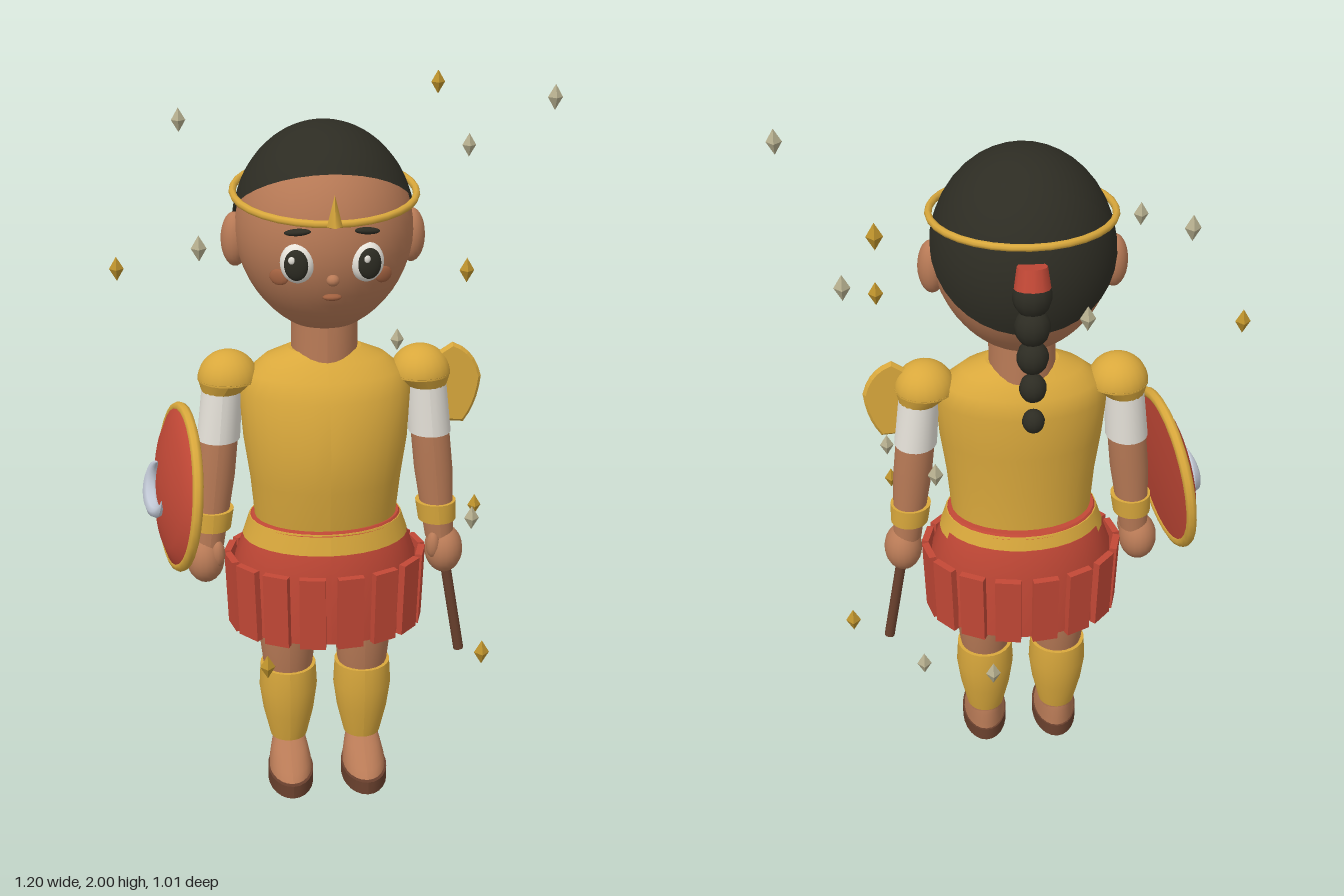
import * as THREE from 'three';

const mat = (name, color) => {
  const m = new THREE.MeshStandardMaterial({ color, side: THREE.DoubleSide });
  m.name = name;
  return m;
};

// Stacked elliptical rings, top to bottom: [y, rx, rz, zCentre, xCentre]
function loft(rings, seg = 24) {
  const n = rings.length - 1;
  const g = new THREE.CylinderGeometry(1, 1, 1, seg, n);
  const p = g.attributes.position;
  for (let i = 0; i < p.count; i++) {
    const [y, rx, rz, zc = 0, xc = 0] = rings[Math.round((0.5 - p.getY(i)) * n)];
    p.setXYZ(i, xc + p.getX(i) * rx, y, zc + p.getZ(i) * rz);
  }
  g.computeVertexNormals();
  return g;
}

export function createModel() {
  const skin = mat('skin', 0xb87a56), hair = mat('black hair', 0x2d2c23);
  const gold = mat('gold', 0xd9a83c), red = mat('red', 0xc24836);
  const white = mat('white', 0xebe7de), silver = mat('silver', 0xc2c9d6);
  const brown = mat('brown leather', 0x69402d), pale = mat('pale crystal', 0xb5ae8e);
  const darkGold = mat('dark gold', 0xbd922c), blush = mat('blush', 0xa0603f);

  const root = new THREE.Group();
  root.name = 'warrior';
  const figure = new THREE.Group();
  figure.name = 'figure';
  figure.position.x = -0.03;
  root.add(figure);

  const add = (name, geo, material, pos = [0, 0, 0], parent = figure) => {
    const m = new THREE.Mesh(geo, material);
    m.name = name;
    m.position.set(...pos);
    parent.add(m);
    return m;
  };
  const ball = (name, material, pos, size, parent = figure, seg = 20) => {
    const m = add(name, new THREE.SphereGeometry(1, seg, Math.ceil(seg * 0.7)), material, pos, parent);
    m.scale.set(...size);
    return m;
  };

  // Head, slightly narrower toward the chin
  const headGeo = new THREE.SphereGeometry(1, 36, 26);
  const hp = headGeo.attributes.position;
  for (let i = 0; i < hp.count; i++) {
    const d = Math.min(hp.getY(i), 0), k = 1 - 0.12 * d * d;
    hp.setXYZ(i, hp.getX(i) * k * 0.235, hp.getY(i) * 0.275, hp.getZ(i) * k * 0.25);
  }
  headGeo.computeVertexNormals();
  add('head', headGeo, skin, [0, 1.64, 0]);
  add('neck', loft([[1.42, 0.09, 0.095], [1.29, 0.09, 0.1]]), skin);

  // Hair cap, tilted back
  const cap = new THREE.SphereGeometry(1, 36, 18, 0, Math.PI * 2, 0, Math.PI * 0.45);
  cap.rotateX(-0.56);
  cap.scale(0.243, 0.282, 0.265);
  cap.computeVertexNormals();
  add('hairCap', cap, hair, [0, 1.638, -0.01]);

  // Braid with a red tie
  const tie = add('braidTie', new THREE.CylinderGeometry(0.038, 0.046, 0.055, 12), red, [0, 1.705, -0.283]);
  tie.rotation.x = 0.2;
  [[1.655, -0.285, 0.05], [1.575, -0.295, 0.046], [1.495, -0.305, 0.041],
    [1.415, -0.32, 0.035], [1.33, -0.34, 0.029]].forEach(([y, z, r]) =>
    ball('braidBead', hair, [0, y, z], [r, r * 1.12, r], figure, 12));

  // Circlet with a spike at the front
  const circlet = add('circlet', new THREE.TorusGeometry(1, 0.04, 8, 32), gold, [0, 1.743, 0.012]);
  circlet.geometry.rotateX(Math.PI / 2).scale(0.24, 0.25, 0.264);
  circlet.rotation.x = 0.095;
  add('circletSpike', new THREE.ConeGeometry(0.02, 0.08, 4), gold, [0, 1.755, 0.289]);

  // Face
  ball('nose', skin, [0, 1.565, 0.243], [0.017, 0.015, 0.017], figure, 12);
  ball('mouth', blush, [0, 1.515, 0.222], [0.025, 0.009, 0.014], figure, 12);

  for (const s of [-1, 1]) {
    ball('ear', skin, [s * 0.235, 1.61, -0.02], [0.037, 0.073, 0.045]);
    const eye = new THREE.Group();
    eye.name = 'eye';
    eye.position.set(s * 0.088, 1.607, 0.222);
    eye.rotation.y = s * 0.22;
    figure.add(eye);
    ball('eyeWhite', white, [0, 0, 0], [0.045, 0.052, 0.032], eye);
    ball('pupil', hair, [0, 0, 0.022], [0.031, 0.04, 0.014], eye);
    ball('eyeGlint', white, [-0.01, 0.015, 0.034], [0.009, 0.01, 0.004], eye, 8);
    const brow = ball('eyebrow', hair, [s * 0.088, 1.688, 0.229], [0.036, 0.009, 0.014], figure, 12);
    brow.rotation.set(0, s * 0.36, -s * 0.12);
    const cheek = ball('cheek', blush, [s * 0.134, 1.565, 0.198], [0.028, 0.021, 0.008], figure, 12);
    cheek.rotation.y = s * 0.6;

    // Arm: shoulder cap, sleeve, forearm, cuff, hand
    const pad = add('shoulderCap', new THREE.SphereGeometry(1, 20, 10, 0, Math.PI * 2, 0, Math.PI * 0.5), gold, [s * 0.262, 1.23, 0.007]);
    pad.scale.set(0.083, 0.08, 0.083);
    add('shoulderCapBase', loft([[1.235, 0.083, 0.083, 0.007, s * 0.262], [1.2, 0.058, 0.065, 0.005, s * 0.278]], 20), gold);
    add('sleeve', loft([[1.23, 0.055, 0.065, 0.005, s * 0.277], [1.06, 0.059, 0.065, 0.005, s * 0.292]]), white);
    add('forearm', loft([[1.08, 0.054, 0.056, 0.008, s * 0.291], [0.95, 0.054, 0.054, 0.01, s * 0.304],
      [0.74, 0.04, 0.042, 0.012, s * 0.325]]), skin);
    add('wristCuff', loft([[0.852, 0.057, 0.057, 0.012, s * 0.312], [0.795, 0.053, 0.054, 0.012, s * 0.317]]), gold);
    ball('hand', skin, [s * 0.338, 0.7, 0.013], [0.054, 0.07, 0.063]);
    ball('thumb', skin, [s * 0.303, 0.725, 0.045], [0.02, 0.04, 0.022], figure, 12);

    // Leg: thigh, greave, ankle, foot, sandal
    const x = s * 0.108;
    add('leg', loft([[0.72, 0.1, 0.1, 0, x], [0.5, 0.088, 0.095, 0, x], [0.36, 0.072, 0.075, 0, x],
      [0.3, 0.06, 0.06, 0, x], [0.08, 0.045, 0.045, 0, x]]), skin);
    add('greave', loft([[0.35, 0.08, 0.083, 0, x], [0.28, 0.084, 0.086, 0, x], [0.2, 0.073, 0.075, 0, x],
      [0.115, 0.053, 0.055, 0, x]]), gold);
    add('foot', loft([[0.115, 0.045, 0.045, 0, x], [0.09, 0.052, 0.068, 0.018, x], [0.06, 0.06, 0.1, 0.05, x],
      [0.025, 0.062, 0.115, 0.062, x]]), skin);
    add('sandalSole', loft([[0.038, 0.066, 0.12, 0.062, x], [0, 0.066, 0.122, 0.062, x]]), brown);
  }

  // Torso and belt
  add('breastplate', loft([[1.315, 0.1, 0.075, 0.005], [1.29, 0.165, 0.1, 0.005], [1.25, 0.212, 0.13, 0.008],
    [1.2, 0.235, 0.153, 0.014], [1.07, 0.225, 0.165, 0.031], [0.95, 0.208, 0.155, 0.03],
    [0.83, 0.197, 0.145, 0.02]], 32), gold);
  add('waistBand', loft([[0.834, 0.206, 0.157, 0.013], [0.822, 0.214, 0.165, 0.012]], 32), red);
  add('belt', loft([[0.828, 0.213, 0.163, 0.012], [0.77, 0.232, 0.178, 0.01]], 32), gold);

  // Skirt with hanging strips
  add('skirt', loft([[0.79, 0.224, 0.172, 0.008], [0.7, 0.256, 0.196, 0.008], [0.505, 0.26, 0.194, 0.006]], 32), red);
  for (let i = 0; i < 16; i++) {
    const a = ((i + 0.5) / 16) * Math.PI * 2;
    const x = Math.sin(a) * 0.267, z = Math.cos(a) * 0.203;
    const strip = add('skirtStrip', new THREE.BoxGeometry(0.072, 0.215, 0.02), red, [x, 0.606, z + 0.007]);
    strip.rotation.order = 'YXZ';
    strip.rotation.set(0.04, Math.atan2(x / 0.071, z / 0.041), 0);
  }

  // Axe held in the left hand, haft along the arm
  const axe = new THREE.Group();
  axe.name = 'axe';
  root.add(axe);
  const low = new THREE.Vector3(0.36, 0.375, 0.014), high = new THREE.Vector3(0.21, 1.28, 0.01);
  const haft = add('axeHaft', new THREE.CylinderGeometry(0.015, 0.015, low.distanceTo(high), 10), brown,
    low.clone().add(high).multiplyScalar(0.5).toArray(), axe);
  haft.quaternion.setFromUnitVectors(new THREE.Vector3(0, 1, 0), high.clone().sub(low).normalize());
  const blade = new THREE.Shape();
  blade.moveTo(0.22, 1.24);
  blade.lineTo(0.32, 1.305);
  blade.quadraticCurveTo(0.375, 1.285, 0.392, 1.215);
  blade.quadraticCurveTo(0.385, 1.14, 0.35, 1.092);
  blade.lineTo(0.25, 1.1);
  add('axeBlade', new THREE.ExtrudeGeometry(blade, { depth: 0.004, bevelSize: 0.008, bevelThickness: 0.008, bevelSegments: 1, curveSegments: 5 }),
    gold, [0, 0, 0.008], axe);

  // Round shield on the right arm; local +y is its outer face
  const shield = new THREE.Group();
  shield.name = 'shield';
  shield.position.set(-0.435, 0.925, 0.025);
  const out = new THREE.Vector3(-0.97, 0.11, 0.2).normalize();
  const side = new THREE.Vector3(0, 1, 0).cross(out).normalize();
  shield.quaternion.setFromRotationMatrix(new THREE.Matrix4().makeBasis(side, out, side.clone().cross(out)));
  root.add(shield);
  const dome = [[0, -0.01], [0.22, -0.01], [0.222, 0.01], [0.17, 0.033], [0.1, 0.05], [0.04, 0.056], [0, 0.057]];
  add('shieldDisc', new THREE.LatheGeometry(dome.map(([r, y]) => new THREE.Vector2(r, y)), 32), red, [0, 0, 0], shield);
  const rim = add('shieldRim', new THREE.TorusGeometry(0.22, 0.015, 8, 32), gold, [0, 0, 0], shield);
  rim.rotation.x = Math.PI / 2;

  // Crescent: an arc of torus thinned toward both ends
  const arc = Math.PI * 1.35, R = 0.068;
  const moon = new THREE.TorusGeometry(R, 0.026, 8, 24, arc);
  const mp = moon.attributes.position;
  for (let i = 0; i < mp.count; i++) {
    let t = Math.atan2(mp.getY(i), mp.getX(i));
    if (t < -0.01) t += Math.PI * 2;
    const k = Math.max(0.05, Math.sin((Math.PI * t) / arc));
    const r = R + (Math.hypot(mp.getX(i), mp.getY(i)) - R) * k;
    mp.setXYZ(i, r * Math.cos(t), r * Math.sin(t), mp.getZ(i) * k);
  }
  moon.computeVertexNormals();
  moon.rotateZ(Math.PI * 0.25 + (Math.PI * 2 - arc) / 2);
  moon.rotateX(-Math.PI / 2);
  add('shieldCrescent', moon, silver, [0, 0.062, 0], shield);

  // Floating crystals
  const crystal = new THREE.OctahedronGeometry(1, 0);
  const scatter = (material, list) => list.forEach((pos) =>
    add('crystal', crystal, material, pos, root).scale.set(0.02, 0.034, 0.02));
  scatter(pale, [[0.58, 1.966, -0.025], [-0.4, 1.86, -0.36], [0.425, 1.763, -0.41], [-0.364, 1.64, 0.18],
    [-0.16, 1.62, -0.345], [0.343, 0.895, 0.246], [0.264, 0.515, -0.29], [0.22, 1.2, -0.37], [0.083, 0.61, -0.458]]);
  scatter(darkGold, [[0.344, 1.93, -0.488], [-0.583, 1.495, -0.166], [0.352, 1.517, 0.016],
    [0.452, 0.69, -0.3], [0.336, 0.617, 0.484], [-0.221, 0.573, 0.43]]);

  return root;
}
